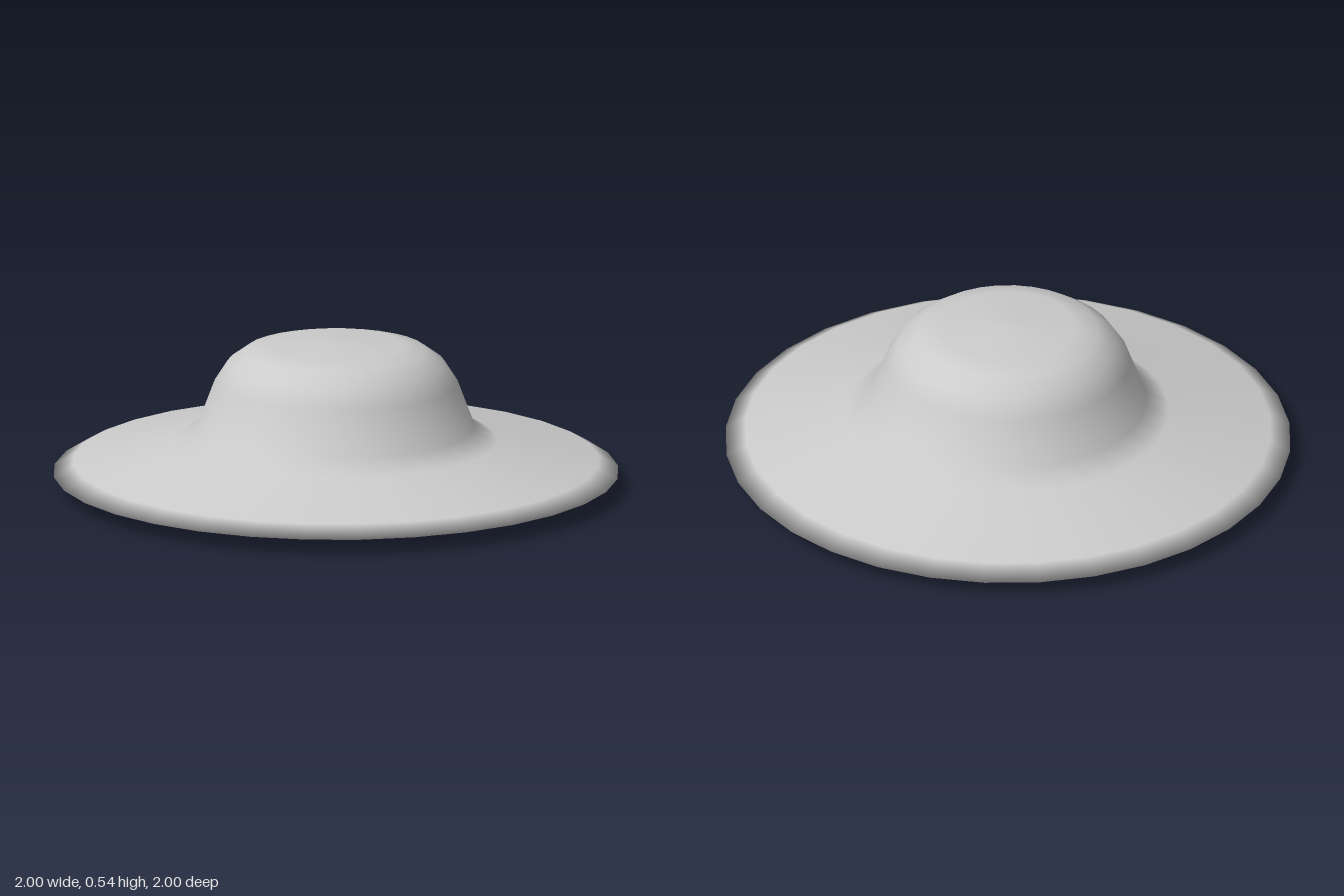
import * as THREE from 'three';

export function createModel() {
  const group = new THREE.Group();
  const material = new THREE.MeshStandardMaterial({ color: 0xcccccc });

  // Revolve a profile of [radius, height] pairs, listed from bottom to top
  const addLathe = (name, profile) => {
    const points = profile.map(([r, y]) => new THREE.Vector2(r, y));
    const mesh = new THREE.Mesh(new THREE.LatheGeometry(points, 32), material);
    mesh.name = name;
    group.add(mesh);
  };

  // One smooth shell: shallow underside, sharp rim, sloping brim and domed crown
  addLathe('saucerBody', [
    [0, 0], [0.88, 0.03], [1, 0.06], [0.93, 0.1],
    [0.57, 0.175], [0.49, 0.225], [0.43, 0.385], [0.385, 0.455],
    [0.32, 0.502], [0.24, 0.522], [0, 0.535],
  ]);

  return group;
}
